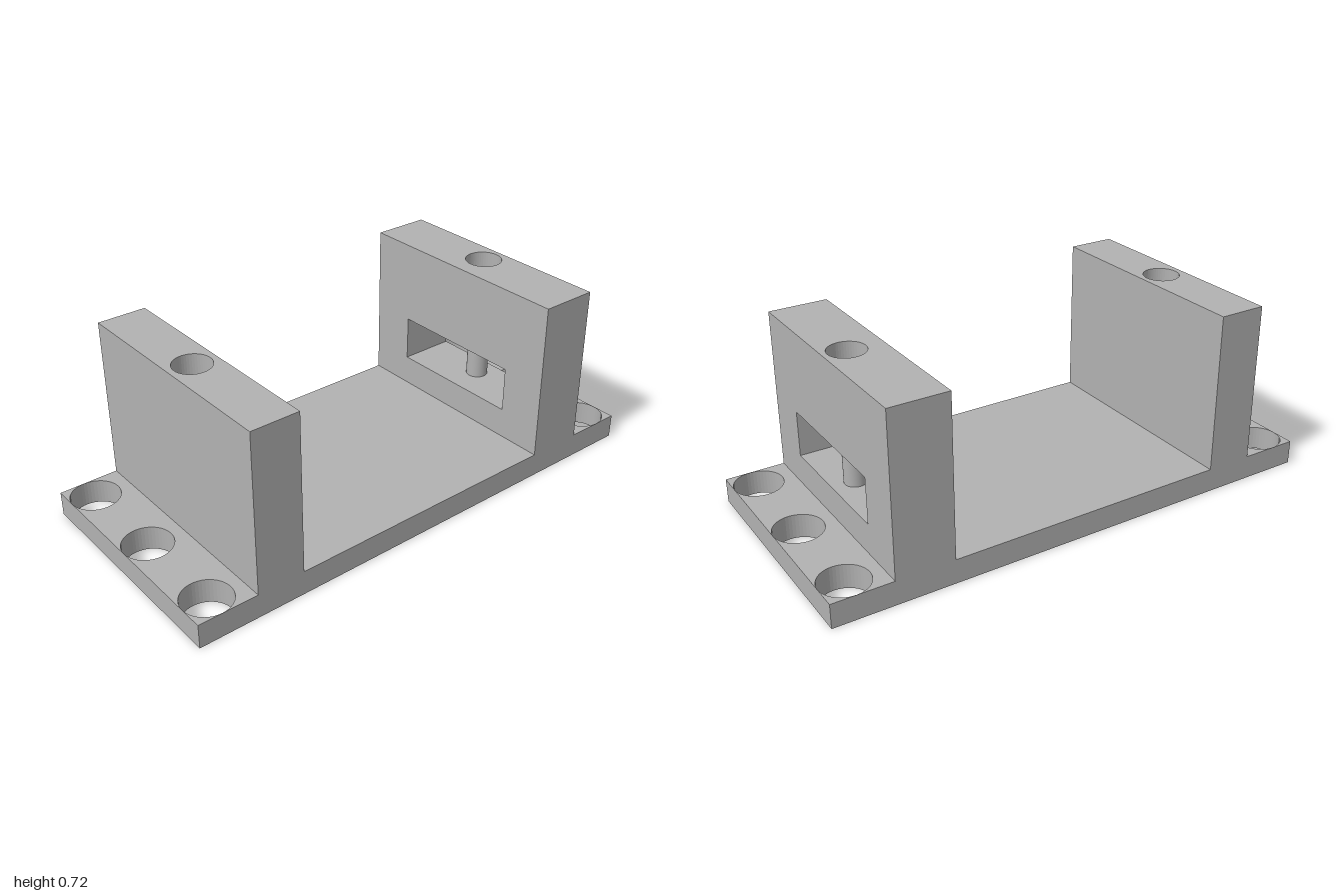
import * as THREE from 'three';

const W = 0.93, BASE_H = 0.095, TOP = 0.722, BORE_FLOOR = 0.5;

// Rectangle centred on (cx, cy)
function rect(Type, cx, cy, w, h) {
  const p = new Type();
  p.moveTo(cx - w / 2, cy - h / 2);
  p.lineTo(cx + w / 2, cy - h / 2);
  p.lineTo(cx + w / 2, cy + h / 2);
  p.lineTo(cx - w / 2, cy + h / 2);
  p.closePath();
  return p;
}

function circleHole(x, y, r) {
  const p = new THREE.Path();
  p.absarc(x, y, r, 0, Math.PI * 2, true);
  return p;
}

// Horizontal slab from y0 to y1; shape coordinates are (x, -z)
function slab(shape, y0, y1) {
  const g = new THREE.ExtrudeGeometry(shape, { depth: y1 - y0, bevelEnabled: false, curveSegments: 24 });
  g.rotateX(-Math.PI / 2);
  g.translate(0, y0, 0);
  return g;
}

export function createModel() {
  const model = new THREE.Group();
  model.name = 'bracket';
  const grey = new THREE.MeshStandardMaterial({ color: 0xb2b2b2 });
  grey.name = 'grey';

  const add = (name, geometry, parent = model) => {
    const m = new THREE.Mesh(geometry, grey);
    m.name = name;
    parent.add(m);
    return m;
  };

  // Base plate with three mounting holes at each end
  const plate = rect(THREE.Shape, 0, 0, W, 2);
  for (const z of [-0.906, 0.906])
    for (const x of [-0.371, 0, 0.371]) plate.holes.push(circleHole(x, z, 0.093));
  add('basePlate', slab(plate, 0, BASE_H));

  // Upright walls, each with a blind bore in its top
  const walls = [
    { name: 'frontWall', z0: 0.58, z1: 0.768, window: false },
    { name: 'backWall', z0: -0.768, z1: -0.54, window: true },
  ];
  for (const { name, z0, z1, window } of walls) {
    const wall = new THREE.Group();
    wall.name = name;
    model.add(wall);
    const zc = (z0 + z1) / 2, depth = z1 - z0;
    const boreZ = window ? -0.677 : zc;

    const upper = rect(THREE.Shape, 0, -zc, W, depth);
    upper.holes.push(circleHole(0, -boreZ, 0.071));
    add(name + 'Upper', slab(upper, BORE_FLOOR, TOP), wall);

    const lower = rect(THREE.Shape, 0, (BASE_H + BORE_FLOOR) / 2, W, BORE_FLOOR - BASE_H);
    if (window) lower.holes.push(rect(THREE.Path, 0, 0.304, 0.56, 0.18));
    const lowerGeo = new THREE.ExtrudeGeometry(lower, { depth, bevelEnabled: false });
    lowerGeo.translate(0, 0, z0);
    add(name + 'Lower', lowerGeo, wall);

    // Pin standing in the window
    if (window) {
      const pin = add('windowPin', new THREE.CylinderGeometry(0.043, 0.043, 0.18, 32), wall);
      pin.position.set(0, 0.304, boreZ);
    }
  }
  return model;
}
